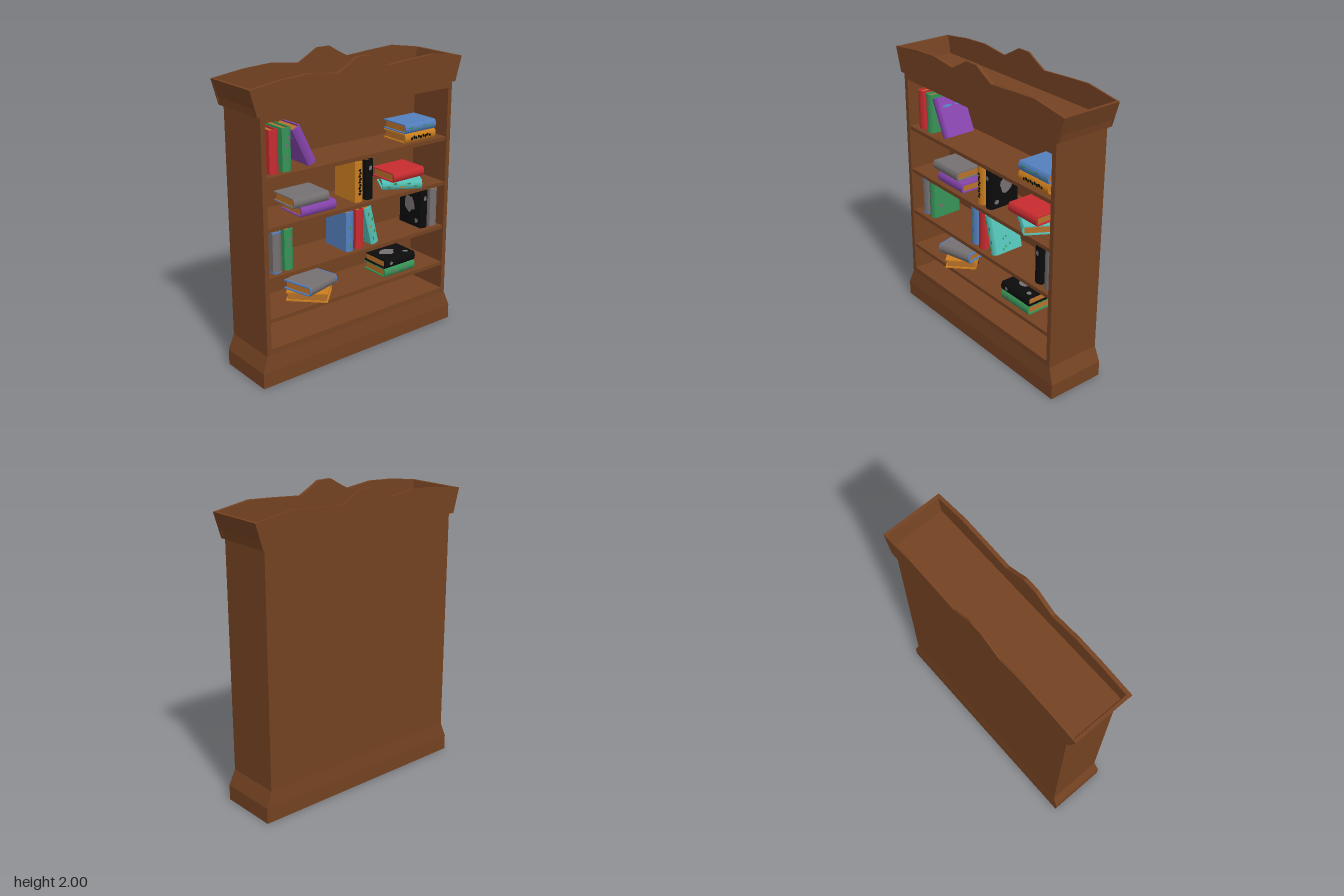
import * as THREE from 'three';

const mat = (name, color) => Object.assign(new THREE.MeshStandardMaterial({ color }), { name });
const M = {
  wood: mat('wood', 0x744222), red: mat('red', 0xc82c30), green: mat('green', 0x379457),
  purple: mat('purple', 0x8644ac), grey: mat('grey', 0x757072), blue: mat('blue', 0x5480be),
  orange: mat('orange', 0xcc7e1e), black: mat('black', 0x0c0c0c), teal: mat('teal', 0x55c2b8),
  page: mat('page', 0xb8702a),
};

let seed = 7;
const rnd = () => (seed = (seed * 16807) % 2147483647) / 2147483647;

function add(parent, name, geo, material) {
  const mesh = new THREE.Mesh(geo, material);
  mesh.name = name;
  parent.add(mesh);
  return mesh;
}

// Box given by its limits on each axis
function panel(parent, name, x0, x1, y0, y1, z0, z1) {
  const m = add(parent, name, new THREE.BoxGeometry(x1 - x0, y1 - y0, z1 - z0), M.wood);
  m.position.set((x0 + x1) / 2, (y0 + y1) / 2, (z0 + z1) / 2);
  return m;
}

// Outline in x and y, extruded from z0 to z1
function slab(parent, name, points, z0, z1) {
  const shape = new THREE.Shape(points.map(p => new THREE.Vector2(...p)));
  const geo = new THREE.ExtrudeGeometry(shape, { depth: z1 - z0, bevelEnabled: false });
  return add(parent, name, geo.translate(0, 0, z0), M.wood);
}

// Closed solid through rectangular rings [y, halfWidth, zBack, zFront]
function loft(rings) {
  const pos = [];
  const corners = rings.map(([y, w, b, f]) => [[-w, y, f], [w, y, f], [w, y, b], [-w, y, b]]);
  const quad = (a, b, c, d) => [a, b, c, a, c, d].forEach(p => pos.push(...p));
  for (let i = 0; i + 1 < corners.length; i++) {
    const lo = corners[i], hi = corners[i + 1];
    for (let k = 0; k < 4; k++) quad(lo[k], lo[(k + 1) % 4], hi[(k + 1) % 4], hi[k]);
  }
  const top = corners[corners.length - 1], [p, q, r, s] = corners[0];
  quad(...top);
  quad(s, r, q, p);
  const geo = new THREE.BufferGeometry();
  geo.setAttribute('position', new THREE.Float32BufferAttribute(pos, 3));
  geo.computeVertexNormals();
  return geo;
}

const L = 0.27, T = 0.062, D = 0.22; // book length, thickness, depth

// Bent cover: two boards joined by a rounded spine at +z
function coverGeo(length, t = T / 2, h = D / 2, c = 0.008) {
  const s = new THREE.Shape();
  s.moveTo(-t, h);
  s.lineTo(-t, -h + 0.012);
  s.quadraticCurveTo(0, -h - 0.012, t, -h + 0.012);
  s.lineTo(t, h);
  s.lineTo(t - c, h);
  s.lineTo(t - c, -h + 0.014);
  s.lineTo(-t + c, -h + 0.014);
  s.lineTo(-t + c, h);
  const geo = new THREE.ExtrudeGeometry(s, { depth: length, bevelEnabled: false, curveSegments: 6 });
  return geo.translate(0, 0, -length / 2).rotateX(-Math.PI / 2);
}

// Ragged flat patch
function blob(rx, ry) {
  const pts = [];
  for (let i = 0; i < 12; i++) {
    const a = (i / 12) * Math.PI * 2, r = 0.65 + 0.35 * rnd();
    pts.push(new THREE.Vector2(Math.cos(a) * rx * r, Math.sin(a) * ry * r));
  }
  return new THREE.ShapeGeometry(new THREE.Shape(pts));
}

function onSpine(g, colour, x, y, rx, ry) {
  add(g, 'spineMark', blob(rx, ry), M[colour]).position.set(x, y, D / 2 + 0.001);
}

function onCovers(g, colour, y, z, rx, ry) {
  for (const s of [-1, 1]) {
    const m = add(g, 'coverMark', blob(rx, ry), M[colour]);
    m.rotation.y = s * Math.PI / 2;
    m.position.set(s * (T / 2 + 0.001), y, z);
  }
}

// Painted decoration for each cover colour
const decorate = {
  black(g) {
    onSpine(g, 'grey', 0, 0.08, 0.015, 0.02);
    onCovers(g, 'grey', 0.02, -0.01, 0.06, 0.07);
    onCovers(g, 'grey', -0.09, 0.06, 0.02, 0.02);
  },
  orange(g) {
    for (let i = 0; i < 9; i++) onSpine(g, 'black', (i % 2 - 0.5) * 0.006, -0.08 + i * 0.02, 0.013, 0.011);
  },
  green(g) {
    for (const y of [-0.05, 0.03, 0.07]) onSpine(g, 'grey', y > 0.05 ? 0.008 : -0.004, y, 0.009, 0.018);
    onCovers(g, 'grey', 0.06, -0.03, 0.035, 0.012);
    onCovers(g, 'grey', -0.05, 0.05, 0.02, 0.02);
  },
  blue(g) {
    for (let i = 0; i < 4; i++) onSpine(g, 'green', (i % 2 - 0.5) * 0.012, -0.09 + i * 0.06, 0.007, 0.022);
  },
  teal(g) {
    for (let i = 0; i < 5; i++) onSpine(g, i === 2 ? 'orange' : 'green', (i % 2 - 0.5) * 0.02, -0.09 + i * 0.045, 0.009, 0.016);
    for (let i = 0; i < 8; i++) onCovers(g, 'green', -0.11 + 0.22 * rnd(), -0.08 + 0.16 * rnd(), 0.009, 0.009);
  },
  purple(g) {
    for (const z of [-0.05, 0.04]) onCovers(g, 'blue', 0.07, z, 0.04, 0.012);
  },
};

function book(colour, x, y, z, tilt = 0, yaw = 0, trim = false) {
  const g = new THREE.Group();
  g.name = colour + 'Book';
  add(g, 'cover', coverGeo(L), M[colour]);
  const pages = new THREE.BoxGeometry(T - 0.014, L - 0.024, D - 0.024);
  add(g, 'pages', pages, M.page);
  if (trim) for (const s of [-1, 1]) {
    add(g, 'coverTrim', coverGeo(0.01, T / 2 + 0.001, D / 2 + 0.001, 0.01), M.blue).position.y = s * (L / 2 - 0.0045);
  }
  decorate[colour]?.(g);
  g.rotation.set(0, THREE.MathUtils.degToRad(yaw), THREE.MathUtils.degToRad(tilt), 'YXZ');
  g.position.set(x, y, z);
  return g;
}

export function createModel() {
  const model = new THREE.Group();
  model.name = 'bookcase';

  // Cabinet
  const F = 0.185, B = -0.205, W = 0.76, I = 0.7275;
  add(model, 'plinth', loft([[0, 0.8, -0.212, 0.197], [0.105, 0.8, -0.212, 0.197], [0.21, W, B, F], [0.25, W, B, F]]), M.wood);
  panel(model, 'rightSide', -W, -I, 0.25, 1.74, B, F);
  panel(model, 'leftSide', I, W, 0.25, 1.74, B, F);
  panel(model, 'backPanel', -I, I, 0.25, 1.74, B, -0.14);
  panel(model, 'topRail', -I, I, 1.7, 1.74, -0.14, F);
  for (const y of [1.365, 1.047, 0.725, 0.45]) panel(model, 'shelf', -I, I, y - 0.025, y, -0.14, F - 0.008);

  // Hollow crown with carved front and back boards
  const outline = [[-0.785, 1.74], [0.78, 1.74], [0.83, 1.905], [0.58, 1.945], [0.4, 1.935], [0.19, 1.92],
    [0.11, 1.962], [0.045, 2], [-0.055, 2], [-0.11, 1.968], [-0.2, 1.92], [-0.4, 1.945], [-0.6, 1.935], [-0.832, 1.905]];
  slab(model, 'crownFront', outline, 0.17, 0.195);
  slab(model, 'crownBack', outline, -0.222, -0.211);
  slab(model, 'crownFloor', [[-0.785, 1.74], [0.78, 1.74], [0.79, 1.79], [-0.79, 1.79]], -0.211, 0.17);
  for (const s of [-1, 1]) {
    const side = [[s * 0.795, 1.79], [s * 0.83, 1.905], [s * 0.807, 1.905], [s * 0.785, 1.79]];
    slab(model, s < 0 ? 'crownRight' : 'crownLeft', side, -0.211, 0.17);
  }

  // Books: colour, x, y, z, tilt, yaw, trim
  const Z = 0.04;
  const books = [
    ['red', -0.642, 1.502, Z], ['green', -0.55, 1.501, Z], ['purple', -0.422, 1.503, Z, 26],
    ['orange', 0.525, 1.397, Z, 90], ['blue', 0.525, 1.462, Z, 90],
    ['purple', -0.32, 1.08, Z, 90], ['grey', -0.375, 1.147, Z, 90],
    ['orange', 0.005, 1.184, Z], ['black', 0.09, 1.184, Z],
    ['teal', 0.44, 1.08, Z, 90, -31], ['red', 0.43, 1.147, Z, 90],
    ['grey', -0.637, 0.863, Z, 0, 0, true], ['green', -0.55, 0.863, Z],
    ['blue', -0.07, 0.861, Z], ['red', 0.013, 0.861, Z], ['teal', 0.11, 0.863, Z, 14],
    ['black', 0.582, 0.868, Z], ['grey', 0.67, 0.864, Z],
    ['orange', -0.325, 0.484, Z, 90, 135], ['grey', -0.316, 0.547, 0.045, 90, 14, true],
    ['green', 0.365, 0.484, Z, 90], ['black', 0.365, 0.547, Z, 90],
  ];
  for (const b of books) model.add(book(...b));
  return model;
}
